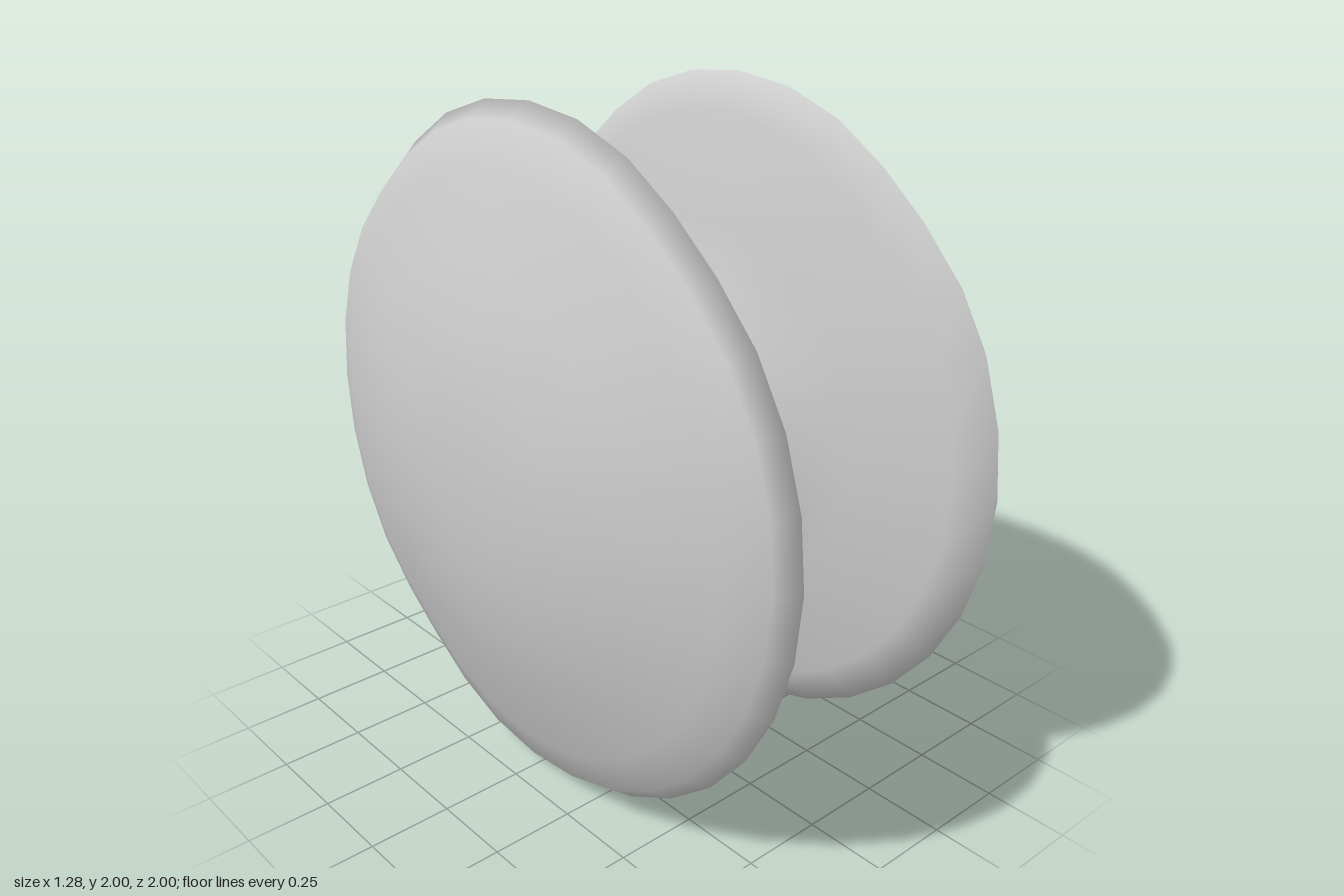
import * as THREE from 'three';
import { mergeVertices } from 'three/addons/utils/BufferGeometryUtils.js';

// Half profile as [distance from the middle, radius], from axle to outer face
const HALF = [
  [0.11, 0.163], [0.205, 0.265], [0.27, 0.58], [0.32, 0.89], [0.373, 1.0],
  [0.43, 0.955], [0.48, 0.84], [0.56, 0.61], [0.615, 0.4], [0.636, 0.2], [0.642, 0],
];

// Slight flat spots round the rim: [angle from the top towards +z, depth], degrees
const FLATS = [[40, 0.024], [-42, 0.026], [-144, 0.034]];

function rimScale(angle) {
  let s = 1;
  for (const [centre, depth] of FLATS) {
    const d = (angle - centre) / 17;
    s -= depth * Math.exp(-d * d);
  }
  return s;
}

// Turned body, its axis laid along x, with smooth shared normals
function turnedBody() {
  const right = HALF.map(([d, r]) => new THREE.Vector2(r, d));
  const left = HALF.map(([d, r]) => new THREE.Vector2(r, -d)).reverse();
  let geo = new THREE.LatheGeometry([...left, ...right], 32);
  geo.rotateZ(-Math.PI / 2);
  const p = geo.attributes.position;
  for (let i = 0; i < p.count; i++) {
    const y = p.getY(i), z = p.getZ(i);
    const s = rimScale(THREE.MathUtils.radToDeg(Math.atan2(z, y)));
    p.setXYZ(i, p.getX(i), y * s, z * s);
  }
  geo.deleteAttribute('normal');
  geo.deleteAttribute('uv');
  geo = mergeVertices(geo, 1e-4);
  geo.computeVertexNormals();
  return geo;
}

export function createModel() {
  const group = new THREE.Group();
  group.name = 'yoyo';
  const body = new THREE.Mesh(turnedBody(), new THREE.MeshStandardMaterial({ color: 0xcccccc }));
  body.name = 'discsAndAxle';
  body.position.y = 0.995;
  group.add(body);
  return group;
}
